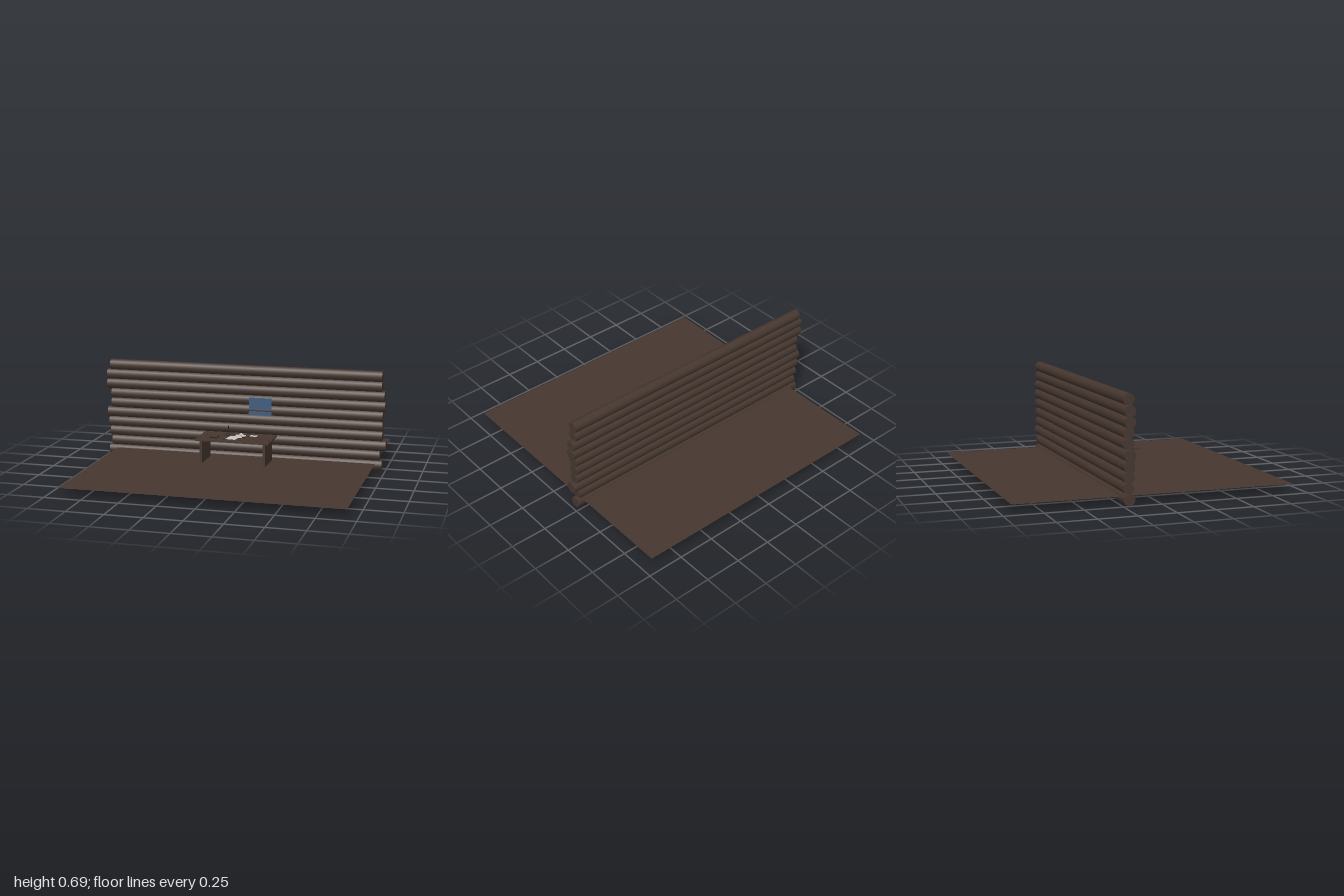
import * as THREE from 'three';

const material = (name, color) => {
  const m = new THREE.MeshStandardMaterial({ color });
  m.name = name;
  return m;
};

export function createModel() {
  const model = new THREE.Group();
  model.name = 'logCabinStudy';

  const wood = material('brown wood', 0x46372f);
  const dark = material('dark wood', 0x241c18);
  const blue = material('window blue', 0x3c5c80);
  const white = material('paper white', 0xc4c4c4);
  const floorWood = material('floor brown', 0x46372f);
  floorWood.side = THREE.DoubleSide;

  const add = (parent, name, geometry, mat, x, y, z) => {
    const mesh = new THREE.Mesh(geometry, mat);
    mesh.name = name;
    mesh.position.set(x, y, z);
    parent.add(mesh);
    return mesh;
  };
  const box = (parent, name, mat, x0, x1, y0, y1, z0, z1) =>
    add(parent, name, new THREE.BoxGeometry(x1 - x0, y1 - y0, z1 - z0), mat,
      (x0 + x1) / 2, (y0 + y1) / 2, (z0 + z1) / 2);

  // Thin floor sheet
  const floor = add(model, 'floor', new THREE.PlaneGeometry(1.86, 1.865), floorWood, 0, 0.052, 0);
  floor.rotation.x = -Math.PI / 2;

  // Wall of stacked logs with uneven ends, bottom to top
  const wall = new THREE.Group();
  wall.name = 'logWall';
  model.add(wall);
  const ends = [[-0.99, 0.975], [-0.97, 0.96], [-0.98, 1], [-0.99, 0.975], [-1, 0.975],
    [-0.97, 0.975], [-0.97, 0.99], [-1, 0.985], [-1, 0.965], [-0.975, 0.965]];
  ends.forEach(([x0, x1], i) => {
    const g = new THREE.CylinderGeometry(0.038, 0.038, x1 - x0, 10);
    g.rotateZ(Math.PI / 2);
    add(wall, 'log', g, wood, (x0 + x1) / 2, 0.038 + i * 0.0684, -0.207);
  });

  // Window panes with a log showing between them
  const win = new THREE.Group();
  win.name = 'window';
  model.add(win);
  box(win, 'lowerPane', blue, 0.043, 0.205, 0.347, 0.375, -0.172, -0.168);
  box(win, 'upperPane', blue, 0.043, 0.205, 0.392, 0.47, -0.172, -0.168);

  // Desk: planked top on two panel legs
  const desk = new THREE.Group();
  desk.name = 'desk';
  model.add(desk);
  const cuts = [-0.13, -0.025, 0.025, 0.075, 0.13];
  for (let i = 0; i < 4; i++) {
    box(desk, 'topPlank', wood, -0.26, 0.253, 0.213, 0.223,
      cuts[i] + (i ? 0.003 : 0), cuts[i + 1] - (i < 3 ? 0.003 : 0));
    if (i) {
      for (const [a, b] of [[-0.257, -0.232], [-0.218, 0.211], [0.225, 0.25]]) {
        box(desk, 'plankGap', dark, a, b, 0.214, 0.222, cuts[i] - 0.003, cuts[i] + 0.003);
      }
    }
  }
  for (const x of [-0.225, 0.218]) {
    box(desk, 'leg', wood, x - 0.008, x + 0.008, 0.052, 0.213, -0.104, 0.106);
  }

  // Closed book
  const book = box(desk, 'book', wood, -0.175, -0.122, 0.223, 0.235, 0.002, 0.07);
  book.rotation.y = 0.15;
  const cover = box(desk, 'bookBinding', dark, -0.178, -0.119, 0.227, 0.231, 0, 0.072);
  cover.rotation.y = 0.15;

  // Inkwell with a quill
  const well = [[0, 0], [0.014, 0], [0.014, 0.008], [0.008, 0.014], [0, 0.014]]
    .map(([r, y]) => new THREE.Vector2(r, y));
  add(desk, 'inkwell', new THREE.LatheGeometry(well, 12), dark, -0.075, 0.223, -0.055);
  const quill = add(desk, 'quill', new THREE.CylinderGeometry(0.003, 0.002, 0.06, 6), dark,
    -0.073, 0.259, -0.053);
  quill.rotation.z = -0.06;

  // Loose sheets, slightly turned and stacked
  [[-0.02, 0.03, 0.07, 0.09, -0.12], [0.01, 0.0, 0.06, 0.05, 0.4],
    [0.018, -0.04, 0.07, 0.045, 0.12], [0.108, -0.05, 0.052, 0.034, -0.1]]
    .forEach(([x, z, w, d, turn], i) => {
      const sheet = add(desk, 'paperSheet', new THREE.BoxGeometry(w, 0.002, d), white,
        x, 0.2245 + i * 0.0008, z);
      sheet.rotation.y = turn;
    });

  // Crumpled paper balls, dented by a simple wave
  for (const [x, z, r] of [[0.018, -0.05, 0.012], [0.045, -0.005, 0.012], [0.035, -0.025, 0.01]]) {
    const g = new THREE.IcosahedronGeometry(r, 1);
    const p = g.attributes.position;
    for (let i = 0; i < p.count; i++) {
      const k = 1 + 0.18 * Math.sin(p.getX(i) * 700 + p.getY(i) * 900 + p.getZ(i) * 500);
      p.setXYZ(i, p.getX(i) * k, p.getY(i) * k * 0.8, p.getZ(i) * k);
    }
    g.computeVertexNormals();
    add(desk, 'crumpledPaper', g, white, x, 0.233, z);
  }

  // Small pen lying beside the papers
  const pen = box(desk, 'pen', dark, 0.04, 0.065, 0.226, 0.23, 0.008, 0.012);
  pen.rotation.y = 0.6;

  return model;
}
